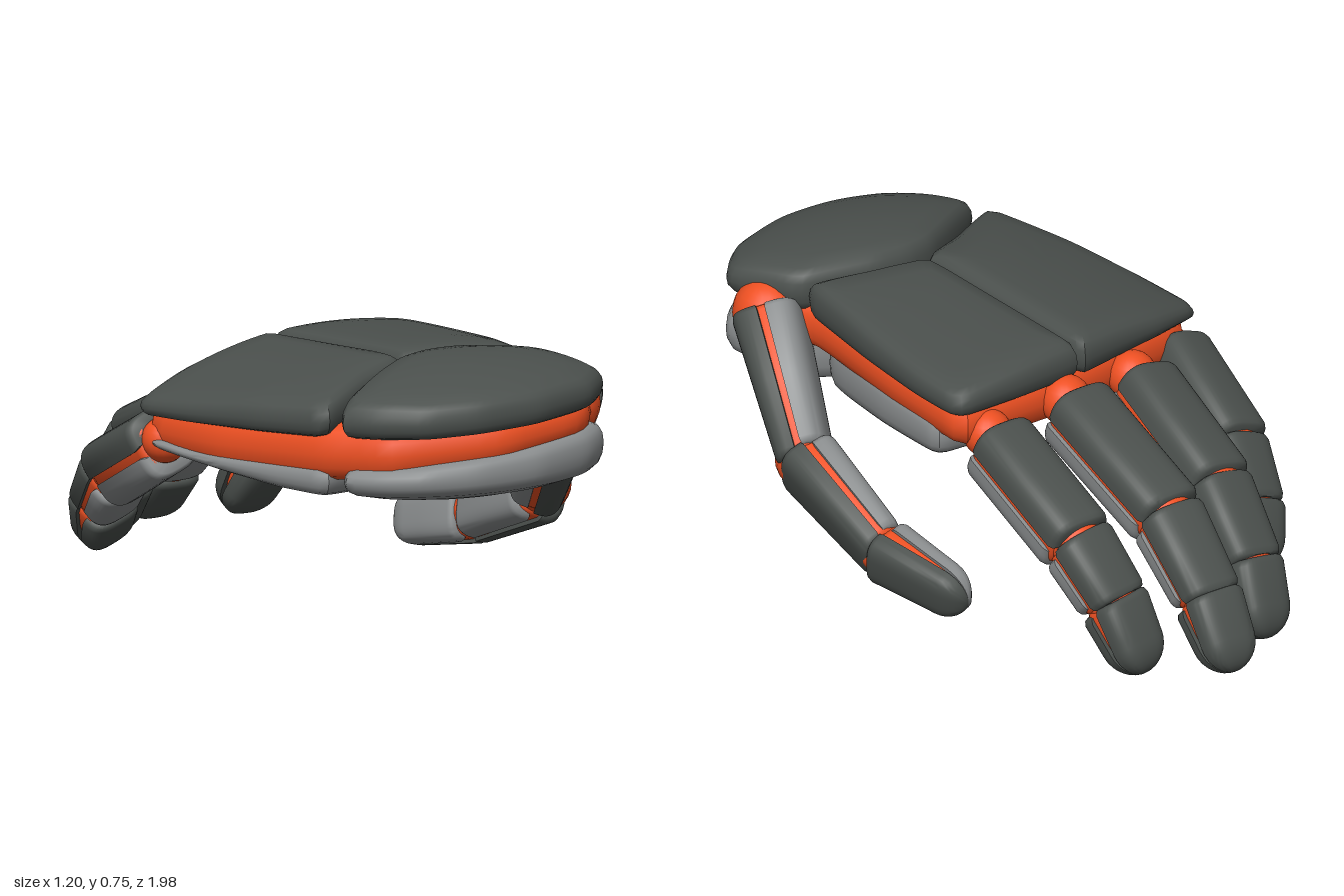
import * as THREE from 'three';
import { toCreasedNormals } from 'three/addons/utils/BufferGeometryUtils.js';

const mat = (color) => new THREE.MeshStandardMaterial({ color, roughness: 0.7 });
const DARK = mat(0x4b504d), ORANGE = mat(0xee5022), GREY = mat(0x8a8d8e);
const V = (x, y, z) => new THREE.Vector3(x, y, z);

// Skin closed rings of equal length, running counter-clockwise about the travel direction
function loft(rings, material, name) {
  const n = rings[0].length, pos = [], idx = [];
  for (const r of rings) for (const p of r) pos.push(p.x, p.y, p.z);
  for (let i = 0; i < rings.length - 1; i++) {
    for (let j = 0; j < n; j++) {
      const k = (j + 1) % n, a = i * n + j, b = i * n + k;
      idx.push(a, b, b + n, a, b + n, a + n);
    }
  }
  const g = new THREE.BufferGeometry();
  g.setAttribute('position', new THREE.Float32BufferAttribute(pos, 3));
  g.setIndex(idx);
  const mesh = new THREE.Mesh(toCreasedNormals(g, 0.8), material);
  mesh.name = name;
  return mesh;
}

// Pillow-edged plate: outline in x,z between a lower and an upper height rule
function plate(name, material, outline, low, high) {
  const curve = new THREE.CatmullRomCurve3(
    outline.map(([x, z]) => V(x, 0, z)), true, 'catmullrom', 0.25);
  const pts = curve.getSpacedPoints(72).slice(0, -1);
  if (THREE.ShapeUtils.area(pts.map((p) => new THREE.Vector2(p.z, p.x))) < 0) pts.reverse();
  const c = pts.reduce((s, p) => s.add(p), V(0, 0, 0)).divideScalar(pts.length);
  // [share of the outline, share of the height]
  const steps = [[0, 0], [0.4, 0], [0.7, 0], [0.9, 0.03], [0.96, 0.12], [0.99, 0.28], [1, 0.5],
    [0.99, 0.72], [0.96, 0.88], [0.9, 0.97], [0.7, 1], [0.4, 1], [0, 1]];
  return loft(steps.map(([s, h]) => pts.map((p) => {
    const q = c.clone().lerp(p, s), lo = low(q.x, q.z), hi = Math.max(high(q.x, q.z), lo + 0.03);
    return q.setY(lo + (hi - lo) * h);
  })), material, name);
}

// Length of digit from a to b. part: 1 dorsal shell, -1 palm shell, 0 whole core
function bar(name, material, a, b, up, w, t, part, tip = false) {
  const d = b.clone().sub(a), len = d.length();
  d.normalize();
  const v = up.clone().addScaledVector(d, -up.dot(d)).normalize();
  const u = v.clone().cross(d);
  const N = 20, gap = tip ? 0.018 : 0.012, e = 0.62, section = [];
  for (let i = 0; i <= N; i++) {
    const th = part === 0 ? (i / (N + 1)) * Math.PI * 2 : (i / N + (part < 0 ? 1 : 0)) * Math.PI;
    const c = Math.cos(th), s = Math.sin(th), g = part * gap;
    section.push([Math.sign(c) * Math.abs(c) ** e,
      g + Math.sign(s) * Math.abs(s) ** e * (t - Math.abs(g))]);
  }
  const r = 0.02, steps = [[0, 0], [0, 0.8], [r * 0.3, 0.93], [r, 1], [len * 0.5, 1]];
  if (tip) {
    const R = Math.min(len * 0.5, w[1] * 1.1);
    for (let k = 0; k <= 8; k++) {
      const q = (k / 8) * Math.PI / 2;
      steps.push([len - R + R * Math.sin(q), Math.cos(q)]);
    }
  } else steps.push([len - r, 1], [len - r * 0.3, 0.93], [len, 0.8], [len, 0]);
  const mid = part * (tip ? gap : t * 0.5);
  return loft(steps.map(([z, s]) => {
    const f = z / len, width = w[0] + (w[1] - w[0]) * f, thin = width / w[0];
    // the side gap of a tip closes towards its end
    const close = tip ? part * gap * f : 0;
    return section.map(([x, y]) => a.clone().addScaledVector(d, z)
      .addScaledVector(u, x * width * s)
      .addScaledVector(v, (mid + (y - mid) * s - close) * thin));
  }), material, name);
}

// Chain of three armoured lengths with orange joints; root is the bare length at the base
function digit(name, points, ups, widths, thick, root) {
  const g = new THREE.Group();
  g.name = name;
  const P = points.map((p) => V(...p));
  for (let i = 0; i < 3; i++) {
    const tip = i === 2, d = P[i + 1].clone().sub(P[i]).normalize();
    const along = (from, dist) => P[from].clone().addScaledVector(d, dist);
    const w = [widths[i], widths[i + 1]], t = thick[i], up = V(...ups[i]);
    g.add(bar('dorsalShell', DARK, along(i, i ? -0.006 : root), along(i + 1, tip ? 0 : 0.008),
      up, w, t, 1, tip));
    g.add(bar('palmShell', tip && name !== 'thumb' ? DARK : GREY, along(i, i ? 0.012 : root),
      along(i + 1, tip ? 0 : -0.012), up, w, t, -1, tip));
    g.add(bar('core', ORANGE, along(i, i ? 0 : root), along(i + 1, tip ? -0.04 : 0), up,
      w.map((x) => x * 0.88), t * 0.8, 0, tip));
    const joint = new THREE.Mesh(new THREE.SphereGeometry(widths[i] * (i ? 0.8 : 0.72), 20, 14), ORANGE);
    joint.name = 'joint';
    joint.position.copy(P[i]);
    g.add(joint);
  }
  return g;
}

export function createModel() {
  const hand = new THREE.Group();
  hand.name = 'roboticHand';

  // Height rules shared by the plates
  const upperBase = (x) => 0.585 + 0.06 * x - 0.25 * Math.min(0, x + 0.3) ** 2;
  const lowerBase = (x) => 0.515 + 0.1 * x;
  const back = (x, z) => 0.738 - 0.28 * (x - 0.1) ** 2 - 0.05 * Math.max(0, 0.4 - z);
  const cuff = (x, z) => 0.755 - 0.33 * (x - 0.1) ** 2 - 0.6 * Math.max(0, z - 0.65) ** 2;
  const palm = (x, z) => 0.36 + 0.15 * x * x + 0.07 * Math.max(0, 0.5 - z);
  const heel = (x, z) => 0.355 + 0.28 * x * x + 0.5 * Math.max(0, z - 0.65) ** 2;

  // Orange body between the plates
  hand.add(plate('palmCore', ORANGE, [[-0.56, 0], [-0.5, -0.05], [-0.06, -0.13], [0.35, -0.15],
    [0.38, -0.1], [0.36, 0.2], [0.31, 0.6], [0.38, 0.82], [0.28, 0.92], [0, 0.965], [-0.3, 0.86],
    [-0.38, 0.74], [-0.43, 0.65], [-0.54, 0.28]],
  (x) => lowerBase(x) - 0.05, (x) => upperBase(x) + 0.035));

  // Back of the hand
  hand.add(plate('outerBackPlate', DARK, [[-0.595, 0.01], [-0.575, -0.025], [-0.4, -0.085],
    [-0.09, -0.145], [-0.065, -0.125], [-0.052, 0.2], [-0.04, 0.49], [-0.06, 0.52], [-0.2, 0.575],
    [-0.415, 0.695], [-0.445, 0.675], [-0.51, 0.47], [-0.57, 0.2]], upperBase, back));
  hand.add(plate('innerBackPlate', DARK, [[-0.06, -0.12], [-0.04, -0.145], [0.15, -0.155],
    [0.36, -0.15], [0.395, -0.11], [0.395, 0.05], [0.37, 0.3], [0.325, 0.58], [0.3, 0.605],
    [0.15, 0.55], [0, 0.51], [-0.035, 0.49], [-0.048, 0.2]], upperBase, back));
  hand.add(plate('wristPlate', DARK, [[-0.41, 0.75], [-0.38, 0.71], [-0.22, 0.61], [-0.1, 0.545],
    [0, 0.525], [0.12, 0.54], [0.32, 0.62], [0.36, 0.68], [0.41, 0.84], [0.3, 0.945], [0.1, 1.0],
    [-0.1, 0.99], [-0.26, 0.935], [-0.36, 0.84]], upperBase, cuff));

  // Palm side
  hand.add(plate('outerPalmPlate', GREY, [[-0.58, 0.05], [-0.54, 0.01], [-0.09, -0.04],
    [-0.065, -0.02], [-0.05, 0.48], [-0.08, 0.52], [-0.39, 0.67], [-0.43, 0.65], [-0.54, 0.3]],
  palm, lowerBase));
  hand.add(plate('innerPalmPlate', GREY, [[-0.05, -0.02], [-0.02, -0.04], [0.34, -0.04],
    [0.375, 0], [0.35, 0.25], [0.3, 0.5], [0.26, 0.56], [0, 0.5], [-0.035, 0.47]],
  (x, z) => palm(x, z) + 0.02, lowerBase));
  hand.add(plate('heelPlate', GREY, [[-0.4, 0.75], [-0.37, 0.71], [-0.1, 0.56], [0, 0.54],
    [0.12, 0.55], [0.31, 0.63], [0.41, 0.84], [0.3, 0.94], [0.1, 0.995], [-0.1, 0.985],
    [-0.26, 0.93], [-0.35, 0.84]], heel, lowerBase));

  // Four fingers, curling down
  const straight = Array(3).fill([0, 1, -0.5]);
  const rolled = Array(3).fill([-0.25, 1, -0.5]);
  const outer = Array(3).fill([-0.4, 1, -0.5]);
  const thick = [0.1, 0.09, 0.085];
  hand.add(digit('indexFinger', [[0.28, 0.535, -0.14], [0.295, 0.36, -0.545], [0.282, 0.225, -0.69],
    [0.262, 0.04, -0.81]], straight, [0.098, 0.098, 0.09, 0.08], thick, 0.04));
  hand.add(digit('middleFinger', [[0, 0.545, -0.15], [0.022, 0.375, -0.615], [0.04, 0.205, -0.815],
    [0.055, 0.03, -0.955]], straight, [0.103, 0.1, 0.09, 0.08], thick, 0.04));
  hand.add(digit('ringFinger', [[-0.27, 0.515, -0.12], [-0.222, 0.35, -0.535], [-0.185, 0.195, -0.725],
    [-0.15, 0.018, -0.85]], rolled, [0.1, 0.1, 0.09, 0.08], thick, 0.04));
  hand.add(digit('littleFinger', [[-0.515, 0.455, 0.0], [-0.455, 0.31, -0.335],
    [-0.405, 0.195, -0.475], [-0.345, 0.055, -0.58]], outer, [0.092, 0.095, 0.088, 0.078], thick, 0.01));

  // Thumb, armoured on its outer side
  hand.add(digit('thumb', [[0.355, 0.585, 0.73], [0.485, 0.29, 0.41], [0.495, 0.15, 0.06],
    [0.435, 0.085, -0.24]], [[0.8, -0.28, 0.72], [0.9, -0.3, 0.15], [1, -0.25, -0.1]],
  [0.14, 0.11, 0.088, 0.075], [0.1, 0.088, 0.08], 0.01));

  // Stand on the ground, centred
  const box = new THREE.Box3().setFromObject(hand);
  const c = box.getCenter(V(0, 0, 0));
  for (const part of hand.children) part.position.set(-c.x, -box.min.y, -c.z);
  return hand;
}
